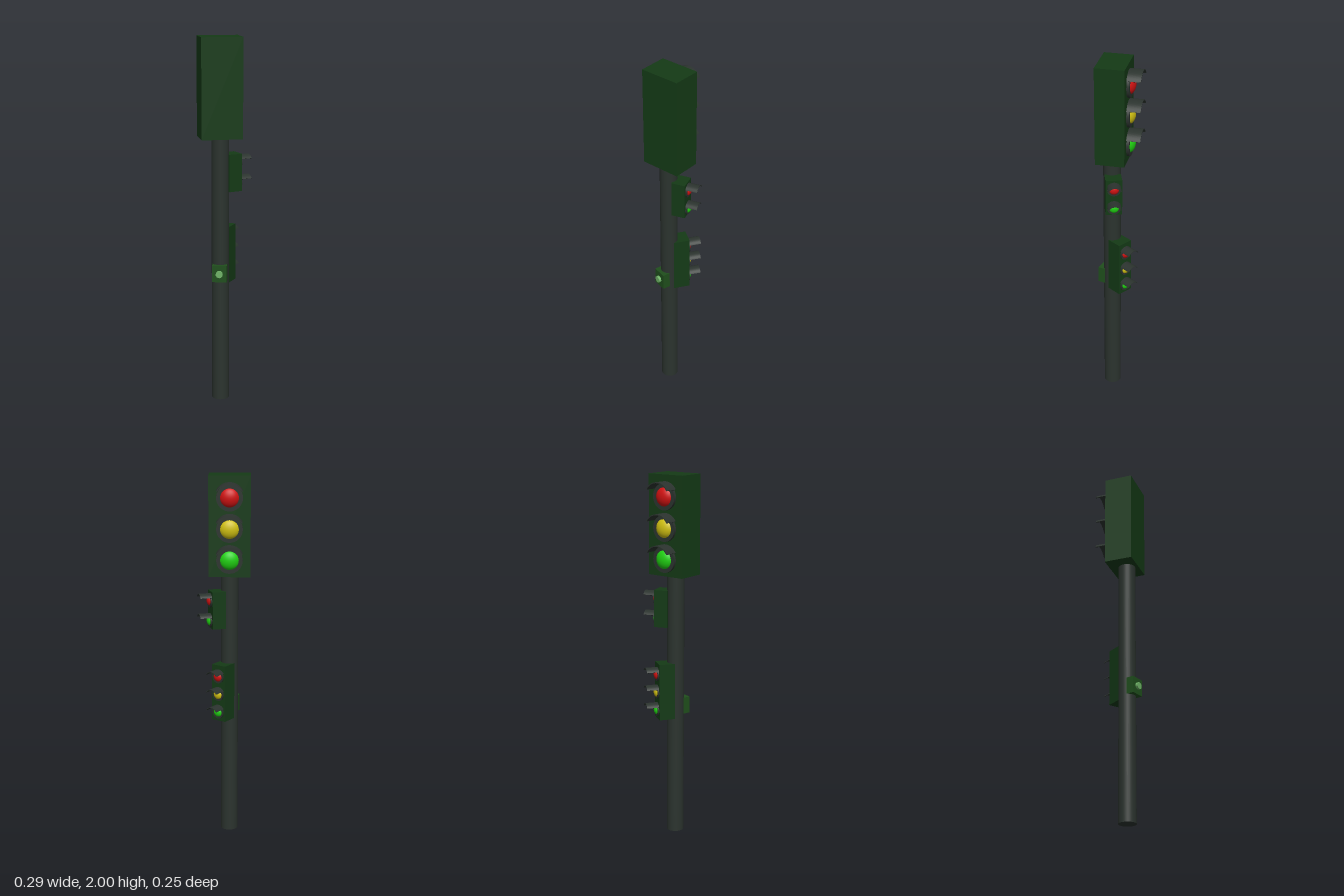
import * as THREE from 'three';

const mat = (color) => new THREE.MeshStandardMaterial({ color });
const bodyMat = mat(0x143a16);
const poleMat = mat(0x2b332e);
const buttonBoxMat = mat(0x1f4f1c);
const buttonMat = mat(0x70b468);
const RED = mat(0xd01212), YELLOW = mat(0xd0c012), GREEN = mat(0x20d012);

const POLE_X = -0.034, POLE_Z = 0.04;

function add(parent, name, geometry, material, x = 0, y = 0, z = 0) {
  const mesh = new THREE.Mesh(geometry, material);
  mesh.name = name;
  mesh.position.set(x, y, z);
  parent.add(mesh);
  return mesh;
}

// Curved hood: a thin arc over the lamp, extruded forwards
function visorGeometry(radius, length) {
  const half = THREE.MathUtils.degToRad(59);
  const a = Math.PI / 2 - half, b = Math.PI / 2 + half;
  const shape = new THREE.Shape();
  shape.absarc(0, 0, radius, a, b, false);
  shape.absarc(0, 0, radius * 0.94, b, a, true);
  shape.closePath();
  return new THREE.ExtrudeGeometry(shape, { depth: length, bevelEnabled: false, curveSegments: 20 });
}

// One lamp facing +z: bezel disc, domed lens and hood
function makeLamp(s, material) {
  const lamp = new THREE.Group();
  lamp.name = 'lamp';
  const bezel = new THREE.CylinderGeometry(s.bezel, s.bezel, 0.03 * s.bezel / 0.07, 32).rotateX(Math.PI / 2);
  add(lamp, 'bezel', bezel, poleMat);
  const dome = new THREE.SphereGeometry(s.lens, 32, 12, 0, Math.PI * 2, 0, Math.PI / 2).rotateX(Math.PI / 2);
  dome.scale(1, 1, s.bulge / s.lens);
  add(lamp, 'lens', dome, material);
  add(lamp, 'visor', visorGeometry(s.visor, s.hood), poleMat);
  return lamp;
}

// Signal head: box from back to front (distances from the pole axis) with lamps
function makeHead(name, s) {
  const head = new THREE.Group();
  head.name = name;
  head.position.set(POLE_X, 0, POLE_Z);
  head.rotation.y = s.angle;
  const [y0, y1] = s.y;
  add(head, 'housing', new THREE.BoxGeometry(s.width, y1 - y0, s.front - s.back), bodyMat,
    0, (y0 + y1) / 2, (s.front + s.back) / 2);
  s.lamps.forEach(([y, material]) => {
    const lamp = makeLamp(s, material);
    lamp.position.set(0, y, s.front);
    head.add(lamp);
  });
  return head;
}

export function createModel() {
  const model = new THREE.Group();
  model.name = 'trafficLight';

  add(model, 'pole', new THREE.CylinderGeometry(0.047, 0.047, 1.48, 32), poleMat, POLE_X, 0.74, POLE_Z);

  // Large main signal on top, facing backwards
  model.add(makeHead('mainSignal', {
    angle: Math.PI, width: 0.221, y: [1.467, 2], back: -0.066, front: 0.09,
    bezel: 0.07, lens: 0.054, bulge: 0.036, visor: 0.08, hood: 0.074,
    lamps: [[1.886, RED], [1.722, YELLOW], [1.558, GREEN]],
  }));

  // Two-lamp pedestrian signal on the left side
  const small = { width: 0.088, bezel: 0.036, lens: 0.028, bulge: 0.02, visor: 0.041 };
  model.add(makeHead('pedestrianSignal', {
    ...small, angle: Math.PI / 2 + 0.315, y: [1.177, 1.38], back: 0.033, front: 0.108, hood: 0.065,
    lamps: [[1.328, RED], [1.218, GREEN]],
  }));

  // Three-lamp repeater signal, lower on the pole
  model.add(makeHead('repeaterSignal', {
    ...small, angle: Math.PI - 0.606, y: [0.667, 0.981], back: 0, front: 0.104, hood: 0.068,
    lamps: [[0.918, RED], [0.818, YELLOW], [0.717, GREEN]],
  }));

  // Push-button box on the front of the pole
  const button = new THREE.Group();
  button.name = 'pushButton';
  button.position.set(POLE_X, 0.734, POLE_Z);
  button.rotation.y = -0.262;
  add(button, 'buttonBox', new THREE.BoxGeometry(0.08, 0.092, 0.05), buttonBoxMat, 0, 0, 0.042);
  add(button, 'button', new THREE.CylinderGeometry(0.019, 0.019, 0.026, 24).rotateX(Math.PI / 2), buttonMat, 0, 0, 0.067);
  model.add(button);

  return model;
}
